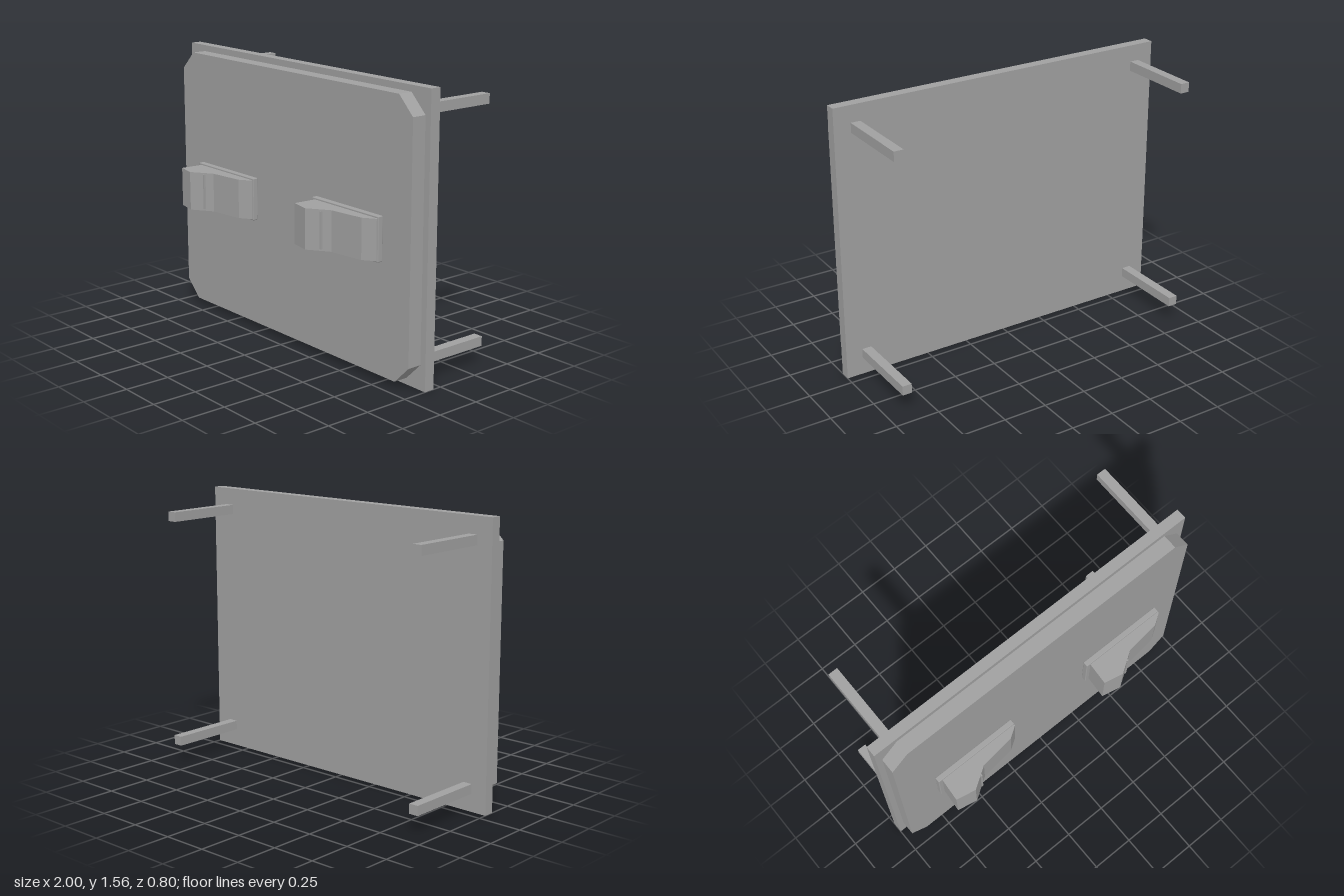
import * as THREE from 'three';
import { RoundedBoxGeometry } from 'three/addons/geometries/RoundedBoxGeometry.js';

const grey = new THREE.MeshStandardMaterial({ color: 0xa0a0a0 });
grey.name = 'grey';

function addMesh(parent, name, geometry, x = 0, y = 0, z = 0) {
  const mesh = new THREE.Mesh(geometry, grey);
  mesh.name = name;
  mesh.position.set(x, y, z);
  parent.add(mesh);
  return mesh;
}

// Box given by its lower and upper corners
function addBox(parent, name, [x0, y0, z0], [x1, y1, z1]) {
  return addMesh(parent, name, new THREE.BoxGeometry(x1 - x0, y1 - y0, z1 - z0),
    (x0 + x1) / 2, (y0 + y1) / 2, (z0 + z1) / 2);
}

function extrude(points, depth) {
  const shape = new THREE.Shape(points.map(([x, y]) => new THREE.Vector2(x, y)));
  return new THREE.ExtrudeGeometry(shape, { depth, bevelEnabled: false });
}

// Rocker switch: mounting base, stepped paddle and a thin ridge
function makeSwitch() {
  const group = new THREE.Group();
  group.name = 'rockerSwitch';
  addMesh(group, 'switchBase', new RoundedBoxGeometry(0.514, 0.24, 0.032, 2, 0.005), 0, 0, 0.228);
  const profile = [[-0.233, 0.24], [-0.243, 0.374], [-0.131, 0.397], [-0.013, 0.319],
    [0.19, 0.295], [0.255, 0.252], [0.255, 0.24]];
  const paddle = extrude(profile.map(([x, z]) => [x, -z]), 0.22);
  paddle.rotateX(-Math.PI / 2);
  addMesh(group, 'switchPaddle', paddle, 0, -0.11, 0);
  addBox(group, 'switchRidge', [-0.063, -0.1, 0.342], [-0.053, 0.1, 0.356]);
  return group;
}

export function createModel() {
  const model = new THREE.Group();
  model.name = 'switchPanel';

  addBox(model, 'backPlate', [-1, 0, 0.05], [1, 1.558, 0.11]);

  // Front panel with clipped corners
  const l = -0.967, r = 0.963, b = 0.036, t = 1.523, c = 0.1;
  addMesh(model, 'frontPanel', extrude([[l + c, b], [r - c, b], [r, b + c], [r, t - c],
    [r - c, t], [l + c, t], [l, t - c], [l, b + c]], 0.083), 0, 0, 0.11);

  // Four mounting posts behind the plate
  for (const x of [-0.882, 0.877]) {
    for (const y of [0.126, 1.436]) {
      addBox(model, 'mountingPost', [x - 0.027, y - 0.027, -0.4], [x + 0.027, y + 0.027, 0.05]);
    }
  }

  for (const x of [-0.5, 0.524]) {
    const rocker = makeSwitch();
    rocker.position.set(x, 0.78, 0);
    model.add(rocker);
  }
  return model;
}
